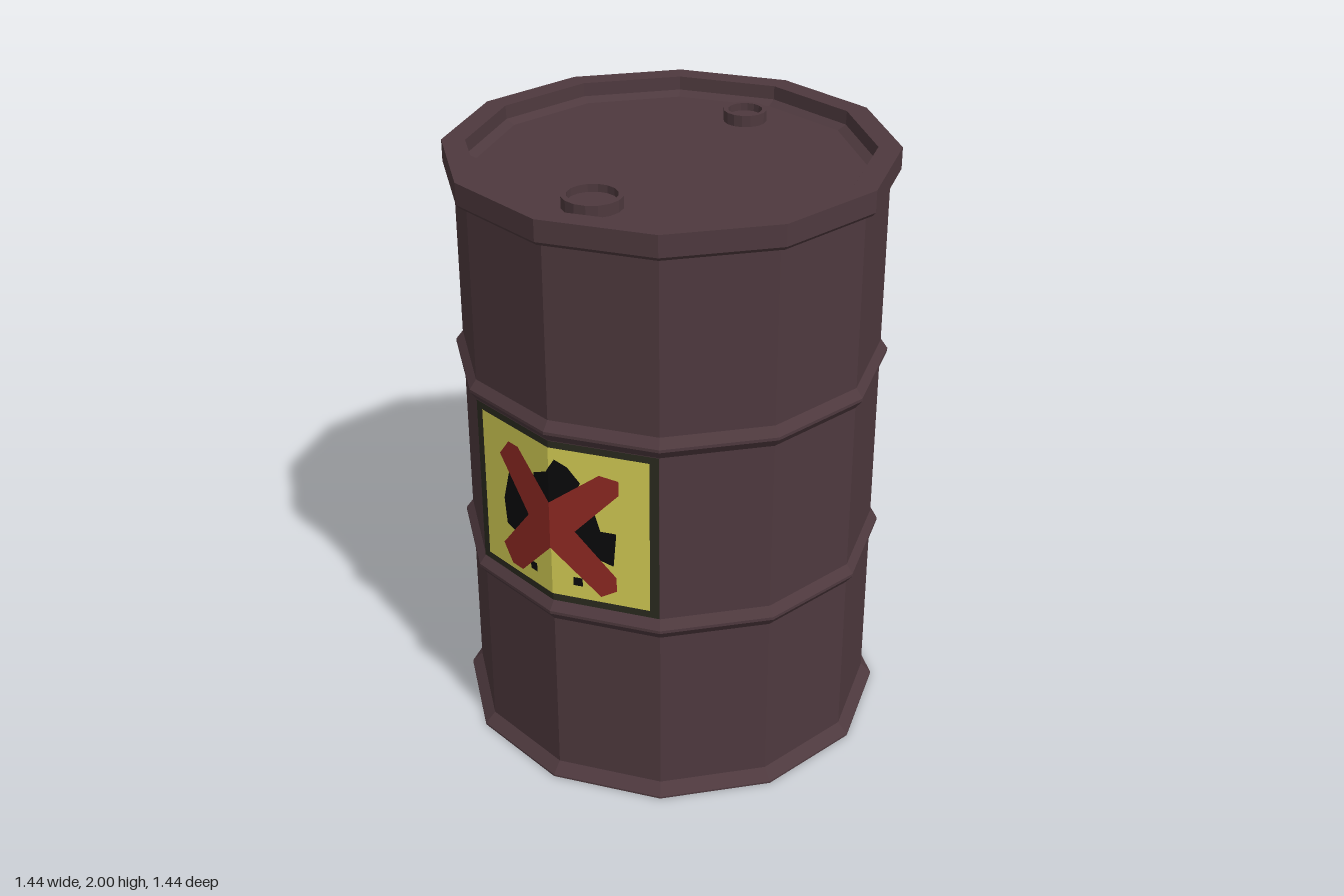
import * as THREE from 'three';

const SIDES = 12, RADIUS = 0.683, SLOPE = Math.tan(Math.PI / 12);

const mat = (name, color, flat) => {
  const m = new THREE.MeshStandardMaterial({ color, flatShading: flat });
  m.name = name;
  return m;
};

// Keep the part of a polygon on one side of x = 0
function clipHalf(points, side) {
  const out = [];
  points.forEach(([x0, y0], i) => {
    const [x1, y1] = points[(i + 1) % points.length];
    if (x0 * side >= 0) out.push(new THREE.Vector2(x0, y0));
    if (x0 * x1 < 0) out.push(new THREE.Vector2(0, y0 + (y1 - y0) * x0 / (x0 - x1)));
  });
  return out;
}

// Thin decal folded over the two front facets of the drum
function decal(name, points, offset, material) {
  const group = new THREE.Group();
  group.name = name;
  for (const side of [-1, 1]) {
    const half = clipHalf(points, side);
    if (half.length < 3) continue;
    const geo = new THREE.ShapeGeometry(new THREE.Shape(half));
    const p = geo.attributes.position;
    for (let i = 0; i < p.count; i++) p.setZ(i, RADIUS + offset - Math.abs(p.getX(i)) * SLOPE);
    geo.computeVertexNormals();
    const mesh = new THREE.Mesh(geo, material);
    mesh.name = name + (side > 0 ? 'Left' : 'Right');
    group.add(mesh);
  }
  return group;
}

const rect = (x0, x1, y0, y1) => [[x0, y0], [x1, y0], [x1, y1], [x0, y1]];

function lathe(name, profile, sides, material) {
  const geo = new THREE.LatheGeometry(profile.map(([r, y]) => new THREE.Vector2(r, y)), sides);
  const mesh = new THREE.Mesh(geo, material);
  mesh.name = name;
  return mesh;
}

export function createModel() {
  const model = new THREE.Group();
  model.name = 'drum';
  const metal = mat('drumMetal', 0x4e393e, true);
  const border = mat('labelBorder', 0x2b2b20, true);
  const yellow = mat('labelYellow', 0xd6cf55, true);
  const black = mat('symbolBlack', 0x0a0a0c, true);
  const red = mat('crossRed', 0x922a24, true);

  // Body: flared foot, two rolling hoops, top rim and recessed lid
  const hoop = y => [[RADIUS, y - 0.035], [0.706, y - 0.005], [0.706, y + 0.005], [RADIUS, y + 0.035]];
  model.add(lathe('body', [
    [0, 0], [0.718, 0], [0.718, 0.006], [RADIUS, 0.042],
    ...hoop(0.655), ...hoop(1.305),
    [RADIUS, 1.918], [0.705, 1.918], [0.715, 1.93], [0.715, 2],
    [0.64, 2], [0.638, 1.955], [0.608, 1.94], [0, 1.94],
  ], SIDES, metal));

  // Filler caps on the lid
  for (const [name, z, r, inner] of [['largeCap', 0.425, 0.095, 0.078], ['smallCap', -0.45, 0.071, 0.056]]) {
    const cap = lathe(name, [[r, 0], [r, 0.04], [inner, 0.04], [inner, 0.015], [0, 0.015]], 16, metal);
    cap.position.set(0, 1.938, z);
    model.add(cap);
  }

  // Warning label
  const label = new THREE.Group();
  label.name = 'warningLabel';
  label.add(
    decal('labelBorder', rect(-0.341, 0.341, 0.692, 1.27), 0.003, border),
    decal('labelPanel', rect(-0.313, 0.313, 0.718, 1.248), 0.005, yellow),
    decal('symbol', [
      [-0.19, 1.08], [-0.22, 0.97], [-0.21, 0.88], [-0.14, 0.86], [0, 0.91], [0.14, 0.88],
      [0.2, 0.86], [0.21, 0.98], [0.16, 0.98], [0.14, 1.05], [0.08, 1.1], [0.1, 1.14],
      [0.06, 1.19], [0.02, 1.21], [-0.01, 1.16], [-0.07, 1.13], [-0.07, 1.05],
    ], 0.007, black),
    decal('symbolDotRight', rect(-0.1, -0.07, 0.765, 0.795), 0.007, black),
    decal('symbolDotLeft', rect(0.07, 0.1, 0.765, 0.795), 0.007, black),
    decal('cross', [
      [-0.23, 1.13], [-0.185, 1.19], [-0.14, 1.19], [0, 1.055], [0.16, 1.18], [0.22, 1.17],
      [0.22, 1.12], [0.08, 0.965], [0.21, 0.82], [0.21, 0.77], [0.16, 0.74], [0, 0.89],
      [-0.14, 0.74], [-0.19, 0.74], [-0.23, 0.8], [-0.1, 0.965],
    ], 0.009, red),
  );
  model.add(label);
  return model;
}
